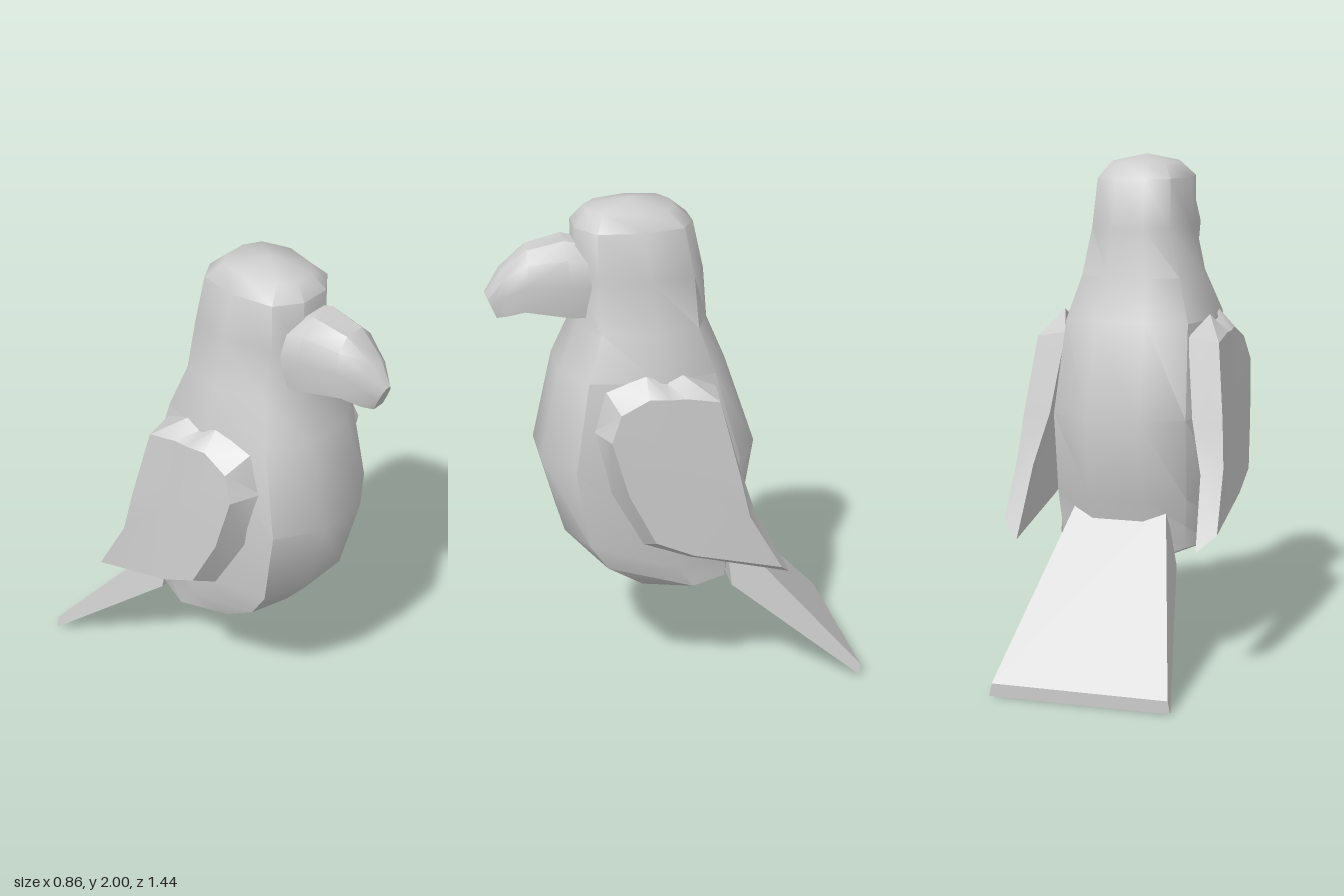
import * as THREE from 'three';
import { toCreasedNormals } from 'three/addons/utils/BufferGeometryUtils.js';

const material = new THREE.MeshStandardMaterial({ color: 0xcccccc });

// Skins a list of equal-length rings of [x, y, z] and closes both ends with a fan.
// startLift raises the centre of the first cap.
function loft(name, rings, crease, startLift = 0) {
  const n = rings[0].length;
  const tris = [];
  const centre = ring => [0, 1, 2].map(k => ring.reduce((s, p) => s + p[k], 0) / n);
  const first = rings[0], last = rings[rings.length - 1];
  const c0 = centre(first), c1 = centre(last);
  c0[1] += startLift;
  for (let i = 0; i < n; i++) {
    const j = (i + 1) % n;
    for (let r = 0; r < rings.length - 1; r++) {
      const a = rings[r], b = rings[r + 1];
      tris.push([a[i], b[i], b[j]], [a[i], b[j], a[j]]);
    }
    tris.push([c0, first[i], first[j]], [c1, last[j], last[i]]);
  }
  // A negative enclosed volume means the faces point inward, so turn them round
  const v = p => new THREE.Vector3(...p);
  const volume = tris.reduce((s, [a, b, c]) => s + v(a).sub(v(c0)).dot(v(b).sub(v(c0)).cross(v(c).sub(v(c0)))), 0);
  if (volume < 0) tris.forEach(t => t.reverse());
  const geometry = new THREE.BufferGeometry();
  geometry.setAttribute('position', new THREE.Float32BufferAttribute(tris.flat(2), 3));
  const mesh = new THREE.Mesh(toCreasedNormals(geometry, crease), material);
  mesh.name = name;
  return mesh;
}

// Completes a half section (x > 0) with its mirror image
const mirrorRing = half => [...half, ...half.map(([x, y, z]) => [-x, y, z]).reverse()];

// Head and body: y, front z, front corner z, back z, front corner x, side x
function body() {
  const rows = [
    [1.97, 0.33, 0.28, 0, 0.1, 0.14],
    [1.91, 0.38, 0.31, -0.07, 0.16, 0.185],
    [1.72, 0.38, 0.31, -0.11, 0.16, 0.2],
    [1.53, 0.385, 0.31, -0.12, 0.2, 0.25],
    [1.36, 0.46, 0.37, -0.19, 0.26, 0.31],
    [1.0, 0.54, 0.43, -0.31, 0.285, 0.335],
    [0.68, 0.455, 0.38, -0.26, 0.27, 0.33],
    [0.57, 0.36, 0.31, -0.23, 0.26, 0.32],
    [0.48, 0.2, 0.17, -0.21, 0.25, 0.31],
    [0.42, 0, -0.02, -0.2, 0.1, 0.14],
  ];
  const rings = rows.map(([y, zf, zc, zb, xc, xs]) => mirrorRing([
    [xc * 0.4, y, zf],
    [xc, y, zc],
    [xs, y, zb + (zf - zb) * 0.46],
    [xs * 0.8, y, zb + (zf - zb) * 0.11],
    [xs * 0.32, y, zb],
  ]));
  return loft('body', rings, 0.85, 0.03);
}

// Beak: top z, bottom z, top y, bottom y, half width
function beak() {
  const rows = [
    [0.3, 0.3, 1.83, 1.575, 0.135],
    [0.42, 0.4, 1.86, 1.575, 0.137],
    [0.56, 0.58, 1.83, 1.605, 0.11],
    [0.66, 0.65, 1.75, 1.58, 0.07],
    [0.72, 0.68, 1.66, 1.565, 0.03],
  ];
  const rings = rows.map(([zt, zb, yt, yb, w]) => {
    const at = (x, t) => [x * w, yb + (yt - yb) * t, zb + (zt - zb) * t];
    return mirrorRing([at(0.4, 1), at(0.85, 0.8), at(1, 0.45), at(0.9, 0)]);
  });
  return loft('beak', rings, 0.7);
}

// Wing: a slab flaring outward, with a bevelled rim around the outer face
function wing(side) {
  const rim = [ // x, y, z against the body
    [0.27, 1.17, 0.36], [0.27, 1.33, 0.31], [0.3, 1.39, 0.16], [0.3, 1.355, 0.08], [0.3, 1.385, 0.02],
    [0.25, 1.31, -0.12], [0.29, 1.0, -0.2], [0.34, 0.8, -0.26], [0.36, 0.53, -0.4],
    [0.34, 0.63, 0], [0.33, 0.7, 0.18], [0.3, 0.92, 0.3],
  ];
  const face = [ // x, y, z of the outer face
    [0.395, 1.17, 0.31], [0.375, 1.27, 0.27], [0.365, 1.32, 0.16], [0.37, 1.315, 0.08], [0.37, 1.315, 0.02],
    [0.37, 1.29, -0.11], [0.405, 1.0, -0.18], [0.42, 0.82, -0.22], [0.43, 0.59, -0.35],
    [0.43, 0.68, 0], [0.43, 0.75, 0.15], [0.41, 0.95, 0.25],
  ];
  const flip = ring => ring.map(([x, y, z]) => [x * side, y, z]);
  return loft(side > 0 ? 'leftWing' : 'rightWing', [flip(rim), flip(face)], 0.5);
}

// Tail: a thin wedge fanning out down and back
function tail() {
  return loft('tail', [
    mirrorRing([[0.18, 0.66, -0.18], [0.23, 0.42, -0.2]]),
    mirrorRing([[0.345, 0.05, -0.72], [0.355, 0, -0.72]]),
  ], 0.4);
}

export function createModel() {
  const model = new THREE.Group();
  model.name = 'bird';
  model.add(body(), beak(), wing(1), wing(-1), tail());
  return model;
}
